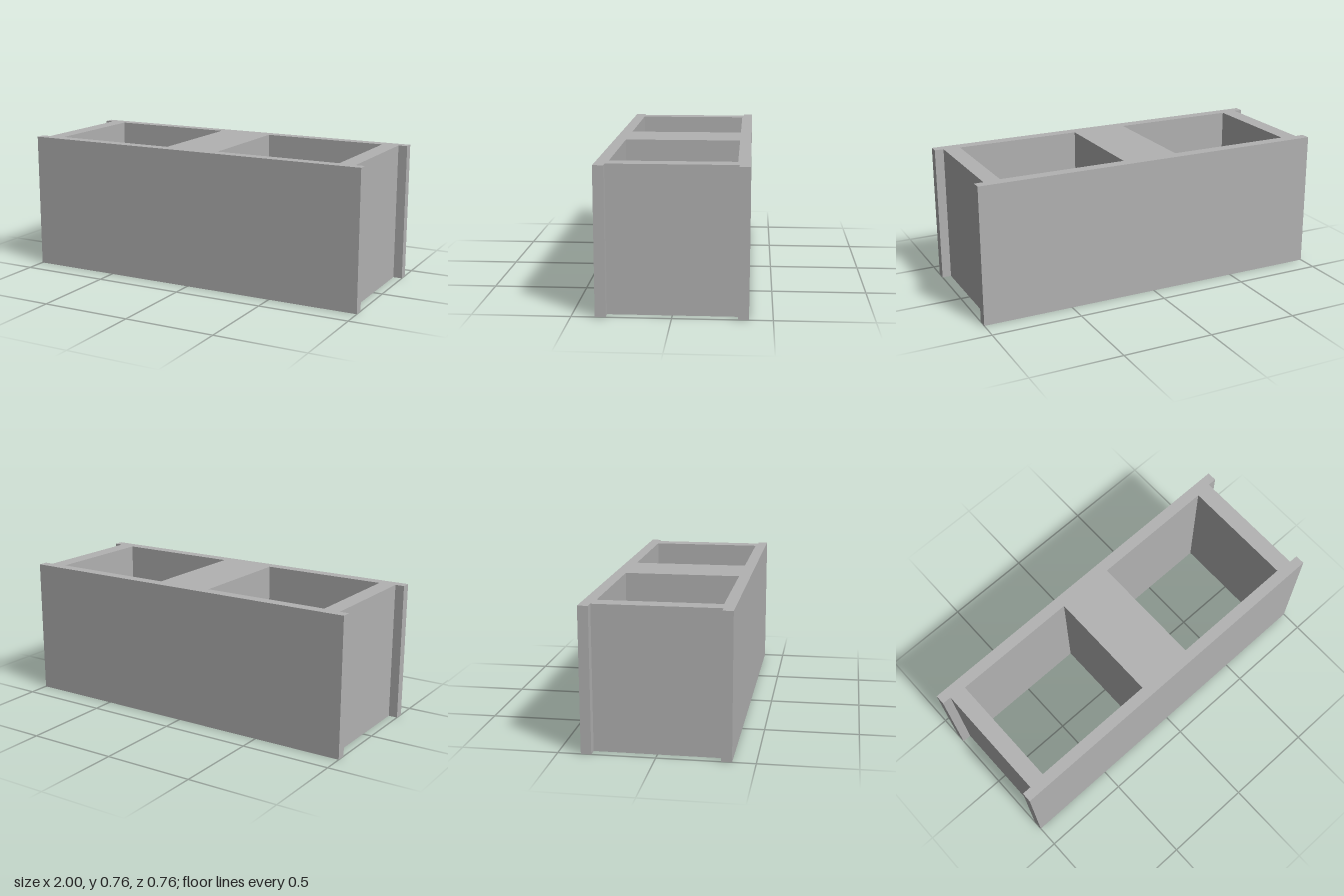
import * as THREE from 'three';

const HEIGHT = 0.762, HALF_X = 1, HALF_Z = 0.381;
const GROOVE_X = 0.95, GROOVE_Z = 0.327; // recess in each end
const CORE_IN = 0.158, CORE_OUT = 0.858, CORE_Z = 0.318; // hollow cores

const toPoints = (list) => list.map(([x, z]) => new THREE.Vector2(x, z));

export function createModel() {
  const group = new THREE.Group();
  group.name = 'hollowBlock';

  const concrete = new THREE.MeshStandardMaterial({ color: 0xb2b2b2 });
  concrete.name = 'concrete grey';

  // Plan outline: a rectangle with a shallow groove in each end
  const outline = new THREE.Shape(toPoints([
    [-HALF_X, -HALF_Z], [HALF_X, -HALF_Z],
    [HALF_X, -GROOVE_Z], [GROOVE_X, -GROOVE_Z], [GROOVE_X, GROOVE_Z], [HALF_X, GROOVE_Z],
    [HALF_X, HALF_Z], [-HALF_X, HALF_Z],
    [-HALF_X, GROOVE_Z], [-GROOVE_X, GROOVE_Z], [-GROOVE_X, -GROOVE_Z], [-HALF_X, -GROOVE_Z],
  ]));

  // Two open cores, mirrored about the thick middle web
  for (const side of [-1, 1]) {
    outline.holes.push(new THREE.Path(toPoints([
      [side * CORE_IN, -CORE_Z], [side * CORE_IN, CORE_Z],
      [side * CORE_OUT, CORE_Z], [side * CORE_OUT, -CORE_Z],
    ])));
  }

  // Extrude the plan and stand it upright
  const geometry = new THREE.ExtrudeGeometry(outline, { depth: HEIGHT, bevelEnabled: false });
  geometry.rotateX(-Math.PI / 2);

  const block = new THREE.Mesh(geometry, concrete);
  block.name = 'blockBody';
  group.add(block);
  return group;
}
